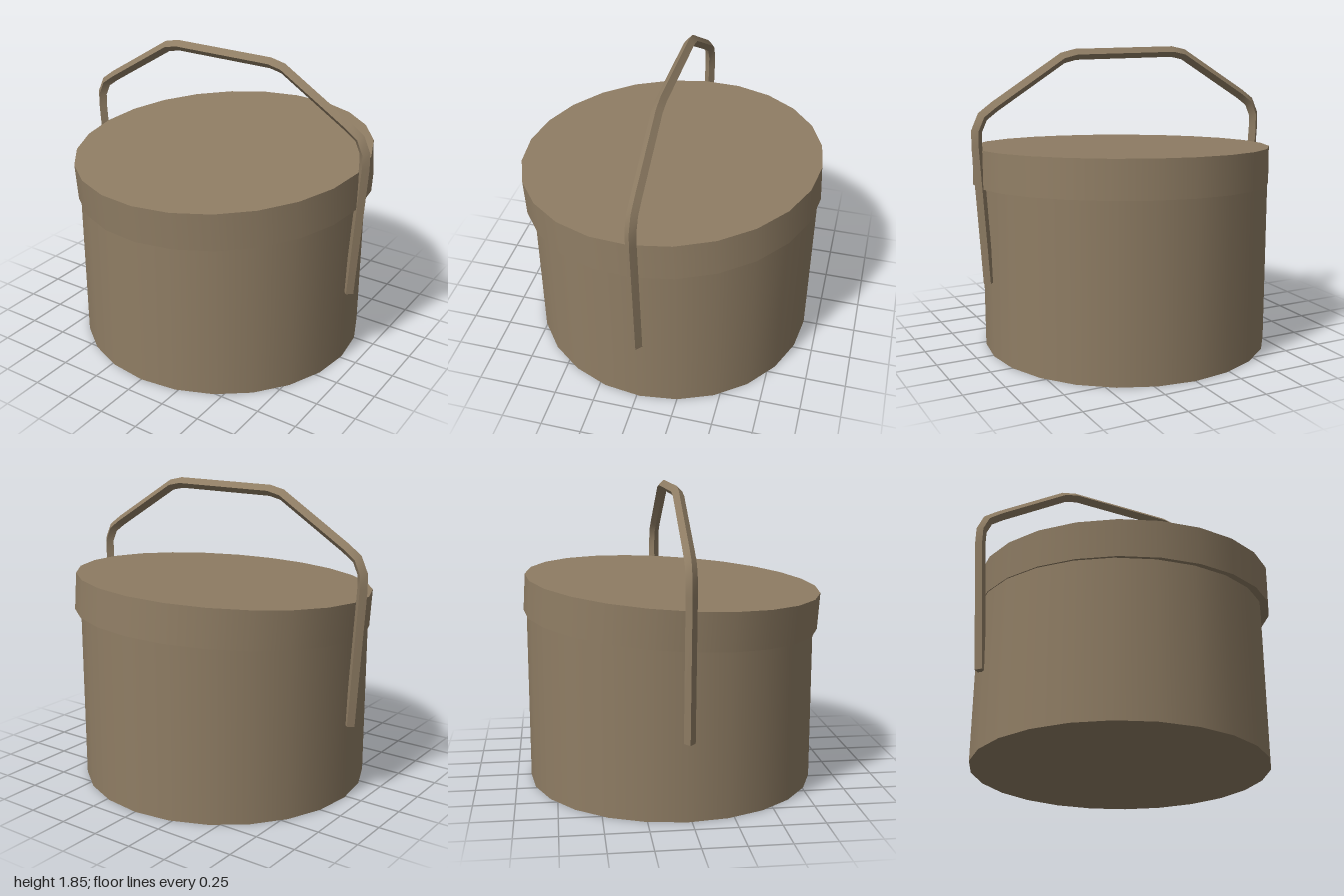
import * as THREE from 'three';
import { toCreasedNormals } from 'three/addons/utils/BufferGeometryUtils.js';

// Diamond-section bar swept along a path in the xy plane, with mitred bends
function diamondBar(points, r) {
  const path = points.map(([x, y]) => new THREE.Vector2(x, y));
  const pos = [], index = [], last = path.length - 1;
  const dir = (i) => path[i + 1].clone().sub(path[i]).normalize();
  path.forEach((p, i) => {
    const a = dir(Math.max(i - 1, 0)), b = dir(Math.min(i, last - 1));
    const t = a.clone().add(b).normalize();
    const m = r / t.dot(a);
    const nx = -t.y * m, ny = t.x * m;
    pos.push(p.x + nx, p.y + ny, 0, p.x, p.y, r, p.x - nx, p.y - ny, 0, p.x, p.y, -r);
  });
  for (let i = 0; i < last; i++) {
    for (let k = 0; k < 4; k++) {
      const a = i * 4 + k, b = i * 4 + (k + 1) % 4;
      index.push(a, b, b + 4, a, b + 4, a + 4);
    }
  }
  const e = last * 4;
  index.push(0, 2, 1, 0, 3, 2, e, e + 1, e + 2, e, e + 2, e + 3);
  const geo = new THREE.BufferGeometry();
  geo.setAttribute('position', new THREE.Float32BufferAttribute(pos, 3));
  geo.setIndex(index);
  return toCreasedNormals(geo, Math.PI / 5);
}

export function createModel() {
  const model = new THREE.Group();
  model.name = 'lidded basket';
  const tan = new THREE.MeshStandardMaterial({ color: 0x8f7d64 });
  tan.name = 'tan';
  const zMid = -0.018;

  const add = (name, geo, x, y, z) => {
    const mesh = new THREE.Mesh(geo, tan);
    mesh.name = name;
    mesh.position.set(x, y, z);
    model.add(mesh);
    return mesh;
  };

  // Round body, its top hidden inside the lid
  const bodyHeight = 1.11;
  add('body', new THREE.CylinderGeometry(0.895, 0.895, bodyHeight, 24), 0, bodyHeight / 2, zMid);

  // Slightly askew lid, raised at the back and on the left
  const lid = add('lid', new THREE.CylinderGeometry(0.923, 0.923, 0.228, 24), 0.019, 1.128, -0.004);
  lid.quaternion.setFromUnitVectors(
    new THREE.Vector3(0, 1, 0),
    new THREE.Vector3(-0.033, 1, 0.0615).normalize()
  );

  // Carrying handle, mirrored from one half
  const half = [
    [-0.914, 0.47], [-0.965, 1.3], [-0.963, 1.39], [-0.926, 1.472],
    [-0.85, 1.527], [-0.415, 1.796], [-0.33, 1.815],
  ];
  const path = [...half, ...half.map(([x, y]) => [-x, y]).reverse()];
  add('handle', diamondBar(path, 0.033), 0, 0, zMid);

  return model;
}
